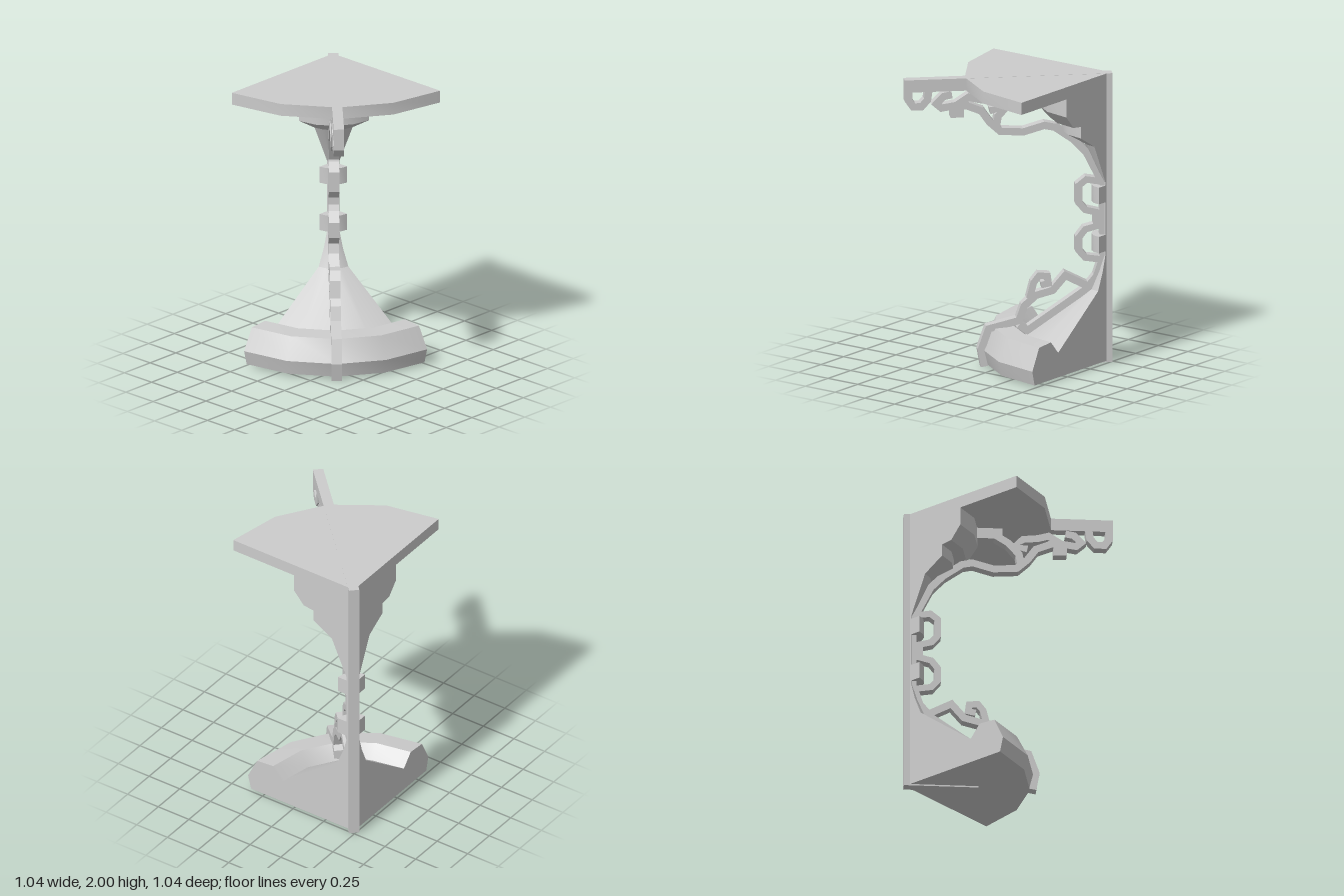
import * as THREE from 'three';
import { toCreasedNormals } from 'three/addons/utils/BufferGeometryUtils.js';

const CORNER = 0.49;        // vertical axis shared by the quarter-round bodies
const THICK = 0.07;         // thickness of the diagonal fretwork
const mat = new THREE.MeshStandardMaterial({ color: 0xcccccc });
const sheet = new THREE.MeshStandardMaterial({ color: 0xcccccc, side: THREE.DoubleSide });

// Quarter turning with flat closed walls; profile is [radius, y] from bottom to top
function quarter(name, profile) {
  const pts = profile.map(([r, y]) => new THREE.Vector2(r, y));
  const group = new THREE.Group();
  group.name = name;
  const lathe = new THREE.LatheGeometry(pts, 4, -Math.PI / 2, Math.PI / 2);
  group.add(new THREE.Mesh(toCreasedNormals(lathe, 0.45), sheet));
  for (const angle of [Math.PI, -Math.PI / 2]) {
    const wall = new THREE.Mesh(new THREE.ShapeGeometry(new THREE.Shape(pts)), sheet);
    wall.rotation.y = angle;
    group.add(wall);
  }
  group.children.forEach((m, i) => { m.name = name + (i ? 'Wall' : 'Turning'); });
  group.position.set(CORNER, 0, -CORNER);
  return group;
}

// Flat slab from an outline in (distance from corner, y)
function slab(name, outline) {
  const geo = new THREE.ExtrudeGeometry(new THREE.Shape(outline), { depth: THICK, bevelEnabled: false });
  geo.translate(0, 0, -THICK / 2);
  const mesh = new THREE.Mesh(geo, mat);
  mesh.name = name;
  return mesh;
}

const bar = (name, s0, s1, y0, y1) => slab(name,
  [[s0, y0], [s1, y0], [s1, y1], [s0, y1]].map(p => new THREE.Vector2(...p)));

// Mitred band of constant width along a centreline given in (x, y)
function band(name, line, width = 0.05) {
  const p = line.map(([x, y]) => new THREE.Vector2((0.495 - x) * Math.SQRT2, y));
  const left = [], right = [];
  p.forEach((v, i) => {
    const a = v.clone().sub(p[Math.max(i - 1, 0)]).normalize();
    const b = p[Math.min(i + 1, p.length - 1)].clone().sub(v).normalize();
    const t = a.clone().add(b).normalize();
    const n = new THREE.Vector2(-t.y, t.x);
    const ref = i ? a : b;
    const miter = Math.min(1.4, 1 / Math.max(0.2, t.dot(ref)));
    n.multiplyScalar(width / 2 * miter);
    left.push(v.clone().add(n));
    right.unshift(v.clone().sub(n));
  });
  return slab(name, [...left, ...right]);
}

export function createModel() {
  const model = new THREE.Group();
  model.name = 'cornerBracket';

  // Quarter-round bodies
  model.add(quarter('base', [[0, 0.01], [0.84, 0.01], [0.865, 0.11], [0.79, 0.26], [0.66, 0.27],
    [0.58, 0.18], [0.14, 0.51], [0.09, 0.63], [0.06, 0.74], [0, 0.74]]));
  model.add(quarter('column', [[0, 0.73], [0.06, 0.73], [0.06, 1.27], [0, 1.27]]));
  for (const y of [0.77, 1.11]) {
    model.add(quarter('columnRing', [[0, y], [0.13, y], [0.13, y + 0.115], [0, y + 0.115]]));
  }
  model.add(quarter('crown', [[0, 1.25], [0.06, 1.25], [0.18, 1.52], [0.33, 1.61], [0.33, 1.69],
    [0.41, 1.7], [0.49, 1.79], [0.49, 1.915], [0.985, 1.915], [0.985, 1.999], [0, 1.999]]));

  // Diagonal fretwork, built along +x from the corner and then turned
  const fret = new THREE.Group();
  fret.name = 'diagonalFretwork';
  fret.add(bar('spine', 0, 0.085, 0, 2));
  fret.add(bar('topRail', 0, 1.4, 1.915, 2));
  fret.add(bar('footRail', 0, 0.5, 0, 0.03));
  fret.add(bar('railBlock', 0.46, 0.66, 1.84, 1.93));

  // Upper scrolls
  fret.add(band('endScroll', [[-0.477, 1.93], [-0.477, 1.86], [-0.455, 1.815], [-0.415, 1.815],
    [-0.387, 1.86], [-0.38, 1.93]]));
  fret.add(band('innerScroll', [[-0.27, 1.89], [-0.31, 1.88], [-0.345, 1.83], [-0.32, 1.8],
    [-0.25, 1.815], [-0.19, 1.81]]));
  fret.add(band('archScroll', [[-0.25, 1.815], [-0.19, 1.87], [-0.14, 1.85], [-0.07, 1.84],
    [-0.03, 1.79], [-0.09, 1.77]]));
  fret.add(band('dropTab', [[-0.245, 1.82], [-0.245, 1.73]], 0.09));
  fret.add(band('upperBrace', [[-0.2, 1.81], [-0.13, 1.77], [-0.09, 1.69], [-0.04, 1.625],
    [0.07, 1.615], [0.17, 1.655], [0.22, 1.64], [0.31, 1.55], [0.37, 1.46], [0.44, 1.26]]));
  fret.add(band('braceStrand', [[-0.06, 1.65], [-0.05, 1.73], [0.0, 1.81], [0.08, 1.88]]));

  // Paired loops around the column rings
  fret.add(band('columnLoops', [[0.455, 1.25], [0.37, 1.27], [0.335, 1.23], [0.335, 1.11],
    [0.365, 1.06], [0.42, 1.04], [0.42, 0.945], [0.365, 0.925], [0.335, 0.87], [0.335, 0.78],
    [0.365, 0.73], [0.455, 0.71]], 0.045));

  // Lower scrolls and the band wrapping over the base
  fret.add(band('lowerBrace', [[0.45, 0.73], [0.42, 0.6], [0.38, 0.53], [0.27, 0.61], [0.21, 0.51],
    [0.13, 0.48], [0.075, 0.41], [0.05, 0.31], [-0.02, 0.285], [-0.095, 0.26], [-0.13, 0.12], [-0.115, 0]]));
  fret.add(band('lowerCurl', [[0.1, 0.46], [0.12, 0.57], [0.145, 0.615], [0.185, 0.61],
    [0.19, 0.56], [0.155, 0.55]], 0.045));
  fret.add(band('slopeRib', [[0.05, 0.28], [0.09, 0.24], [0.39, 0.53]]));

  fret.rotation.y = -3 * Math.PI / 4;
  fret.position.set(0.495, 0, -0.495);
  model.add(fret);
  return model;
}
